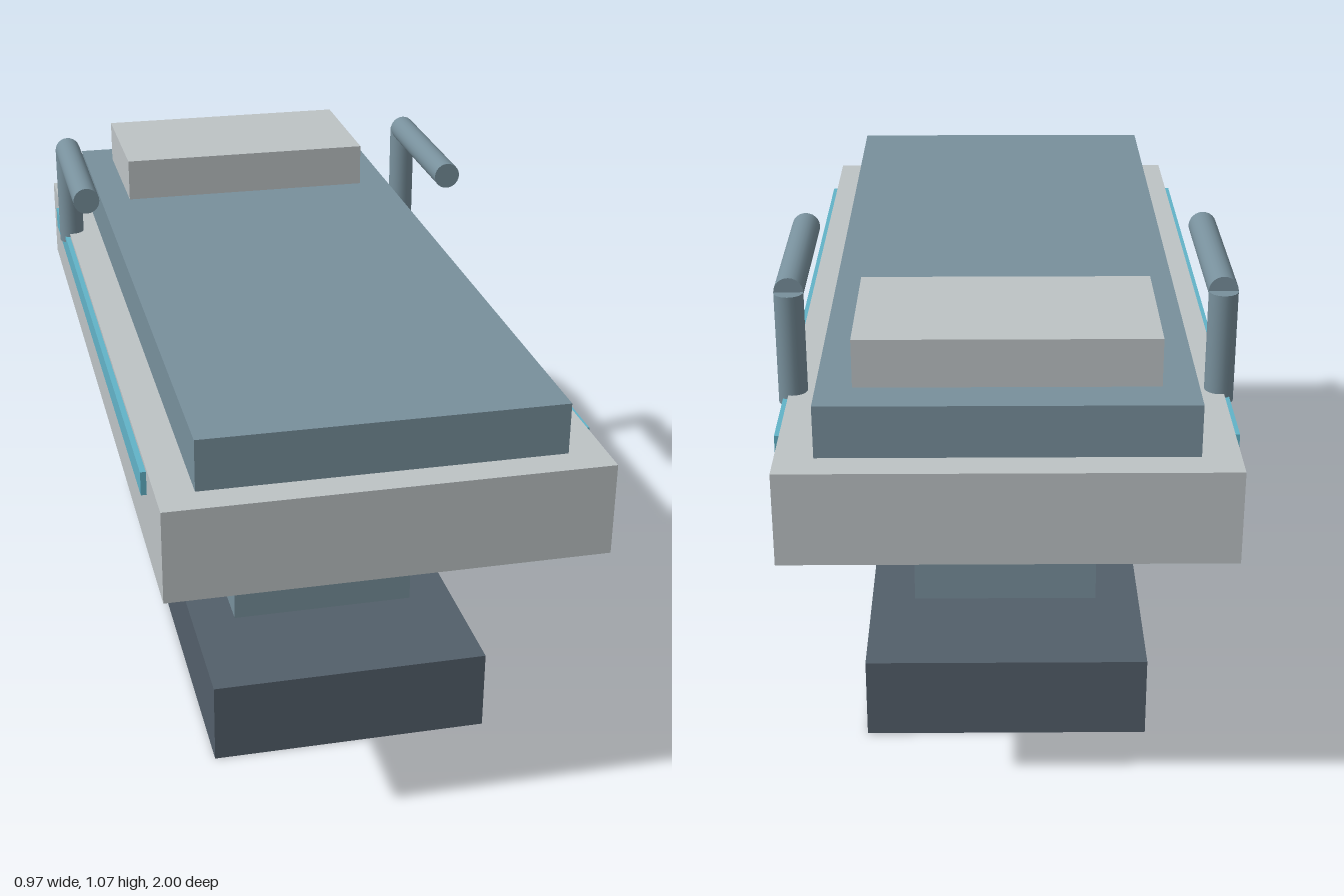
import * as THREE from 'three';

const mat = (name, color) => {
  const m = new THREE.MeshStandardMaterial({ color });
  m.name = name;
  return m;
};

export function createModel() {
  const model = new THREE.Group();
  model.name = 'operatingTable';

  const slate = mat('dark slate', 0x535f6a);
  const steel = mat('blue grey', 0x78909c);
  const pale = mat('pale grey', 0xbdc3c5);
  const cyan = mat('cyan', 0x62b3c8);
  const brown = mat('brown', 0xa0674c);

  // Box given by its extents along each axis
  function box(name, material, [x0, x1], [y0, y1], [z0, z1]) {
    const mesh = new THREE.Mesh(new THREE.BoxGeometry(x1 - x0, y1 - y0, z1 - z0), material);
    mesh.position.set((x0 + x1) / 2, (y0 + y1) / 2, (z0 + z1) / 2);
    mesh.name = name;
    model.add(mesh);
  }

  // Stand and table
  box('base', slate, [-0.315, 0.315], [0, 0.187], [-0.695, 0.695]);
  box('column', steel, [-0.214, 0.214], [0.187, 0.613], [-0.415, 0.415]);
  box('tableTop', pale, [-0.463, 0.463], [0.613, 0.815], [-1, 1]);
  box('mattress', steel, [-0.384, 0.384], [0.815, 0.927], [-0.93, 0.93]);
  box('pillow', pale, [-0.31, 0.31], [0.927, 1.03], [-0.84, -0.49]);
  box('undersidePlate', brown, [-0.255, 0.255], [0.608, 0.614], [0.88, 0.945]);

  // Side rails and bent arm supports, mirrored
  const radius = 0.0315, armY = 1.038, postZ = -0.6;
  for (const s of [-1, 1]) {
    const side = s > 0 ? 'left' : 'right';
    const xs = s > 0 ? [0.455, 0.475] : [-0.475, -0.455];
    box(side + 'Rail', cyan, xs, [0.754, 0.806], [-0.81, 0.81]);

    const support = new THREE.Group();
    support.name = side + 'ArmSupport';
    support.position.x = s * 0.455;

    const postHeight = armY - 0.79;
    const post = new THREE.Mesh(new THREE.CylinderGeometry(radius, radius, postHeight, 24), steel);
    post.name = 'post';
    post.position.set(0, 0.79 + postHeight / 2, postZ);

    const armLength = 0.42;
    const arm = new THREE.Mesh(new THREE.CylinderGeometry(radius, radius, armLength, 24), steel);
    arm.name = 'armBar';
    arm.rotation.x = Math.PI / 2;
    arm.position.set(0, armY, postZ + armLength / 2);

    support.add(post, arm);
    model.add(support);
  }
  return model;
}
